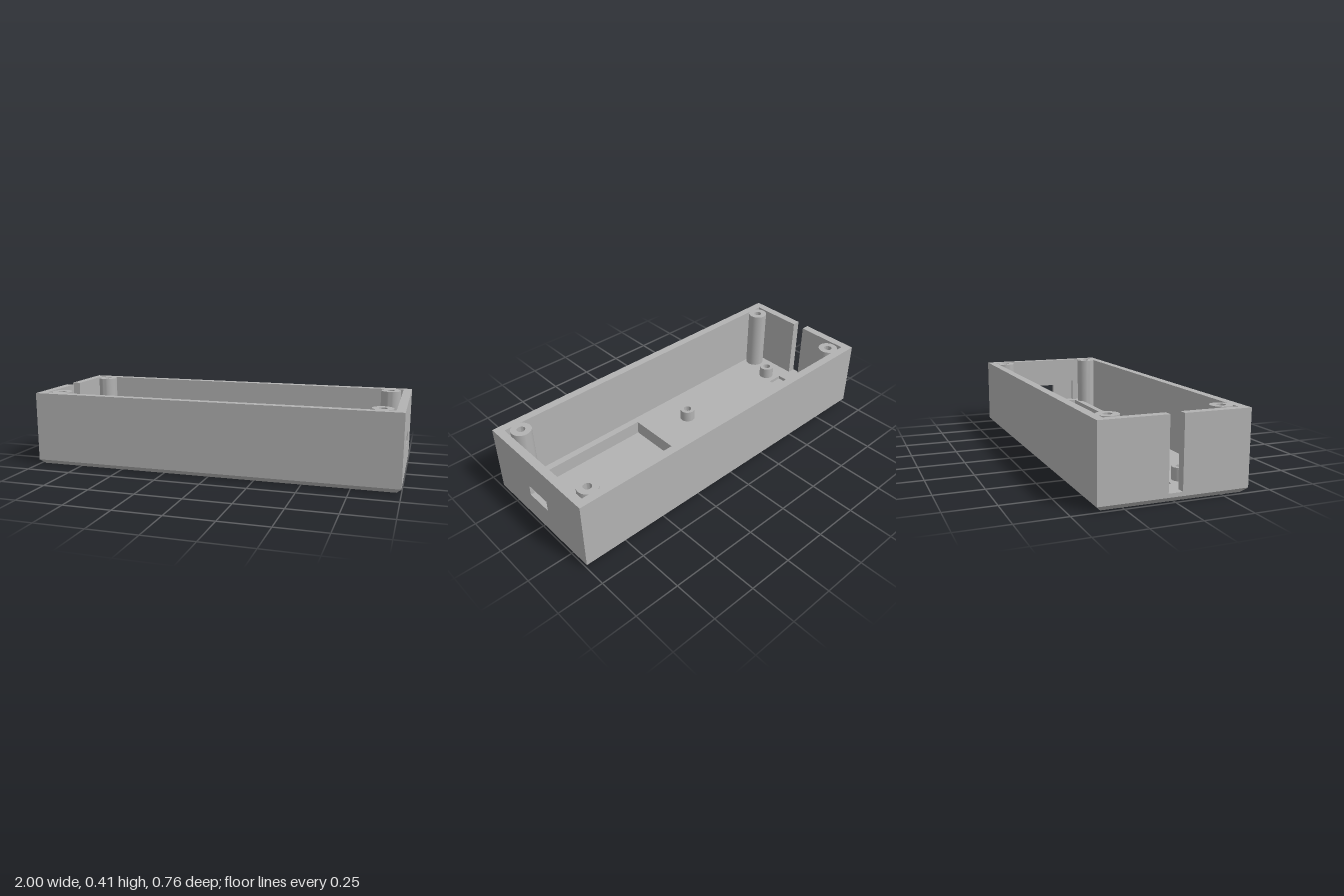
import * as THREE from 'three';
import { toCreasedNormals } from 'three/addons/utils/BufferGeometryUtils.js';

const HX = 1, HZ = 0.38, WALL = 0.045, FLOOR = 0.045, CHAMFER = 0.025, TOP = 0.406;

export function createModel() {
  const group = new THREE.Group();
  const plastic = new THREE.MeshStandardMaterial({ color: 0xb2b2b2 });
  plastic.name = 'grey plastic';

  const add = (name, geometry) => {
    const mesh = new THREE.Mesh(geometry, plastic);
    mesh.name = name;
    group.add(mesh);
    return mesh;
  };
  const polygon = (points) => points.map(([a, b]) => new THREE.Vector2(a, b));
  const rect = (a0, b0, a1, b1) => polygon([[a0, b0], [a1, b0], [a1, b1], [a0, b1]]);

  // Plan outline (x, -z) raised from y0 to y1
  const raise = (name, outline, y0, y1, hole) => {
    const shape = new THREE.Shape(outline);
    if (hole) shape.holes.push(new THREE.Path(hole));
    const g = new THREE.ExtrudeGeometry(shape, { depth: y1 - y0, bevelEnabled: false });
    return add(name, g.rotateX(-Math.PI / 2).translate(0, y0, 0));
  };

  // Upright plate across the +x end, from x0 to x1, with one rectangular opening
  const endPlate = (name, x0, x1, hole) => {
    const shape = new THREE.Shape(rect(-HZ, FLOOR, HZ, TOP));
    shape.holes.push(new THREE.Path(hole));
    const g = new THREE.ExtrudeGeometry(shape, { depth: x1 - x0, bevelEnabled: false });
    return add(name, g.rotateY(Math.PI / 2).translate(x0, 0, 0));
  };

  // Hollow screw post standing on the floor
  const post = (name, x, z, radius, top) => {
    const bore = 0.022;
    const profile = polygon([[radius, FLOOR], [radius, top], [bore, top], [bore, FLOOR]]);
    const g = toCreasedNormals(new THREE.LatheGeometry(profile, 40), 0.6);
    add(name, g.translate(x, 0, z));
  };

  // Chamfered underside: a slab with its lower corners drawn in
  const base = new THREE.BoxGeometry(2 * HX, CHAMFER, 2 * HZ).translate(0, CHAMFER / 2, 0);
  const p = base.attributes.position;
  for (let i = 0; i < p.count; i++) {
    if (p.getY(i) < CHAMFER / 2) {
      p.setX(i, p.getX(i) - Math.sign(p.getX(i)) * CHAMFER);
      p.setZ(i, p.getZ(i) - Math.sign(p.getZ(i)) * CHAMFER);
    }
  }
  base.computeVertexNormals();
  add('chamferedBase', base);

  // Floor with a square recess
  raise('floor', rect(-HX, -HZ, HX, HZ), CHAMFER, FLOOR, rect(-0.87, -0.046, -0.778, 0.046));

  // Two L-shaped walls leaving the cable slot open at the -x end
  const slot = 0.036, inX = HX - WALL, inZ = HZ - WALL;
  for (const s of [1, -1]) {
    raise(s > 0 ? 'backWall' : 'frontWall', polygon([
      [-HX, s * slot], [-inX, s * slot], [-inX, s * inZ],
      [inX, s * inZ], [inX, s * HZ], [-HX, s * HZ],
    ]), FLOOR, TOP);
  }

  // Port end wall: small opening outside, wider recess inside
  endPlate('portWall', 0.977, HX, rect(-0.077, 0.167, 0.077, 0.228));
  endPlate('portRecessWall', inX, 0.977, rect(-0.212, 0.122, 0.212, 0.256));

  // Raised frame on the floor
  raise('displayFrame', rect(0.128, -0.255, inX, 0.255), FLOOR, 0.122, rect(0.19, -0.217, 0.92, 0.217));

  // Corner pillars, flush with the rim
  for (const x of [-0.888, 0.888])
    for (const z of [-0.286, 0.286]) post('cornerPillar', x, z, 0.055, TOP);

  // Short board mounts
  for (const [x, z] of [[-0.82, -0.118], [-0.82, 0.118], [-0.584, -0.131], [-0.124, 0.129]])
    post('boardMount', x, z, 0.043, 0.11);

  return group;
}
